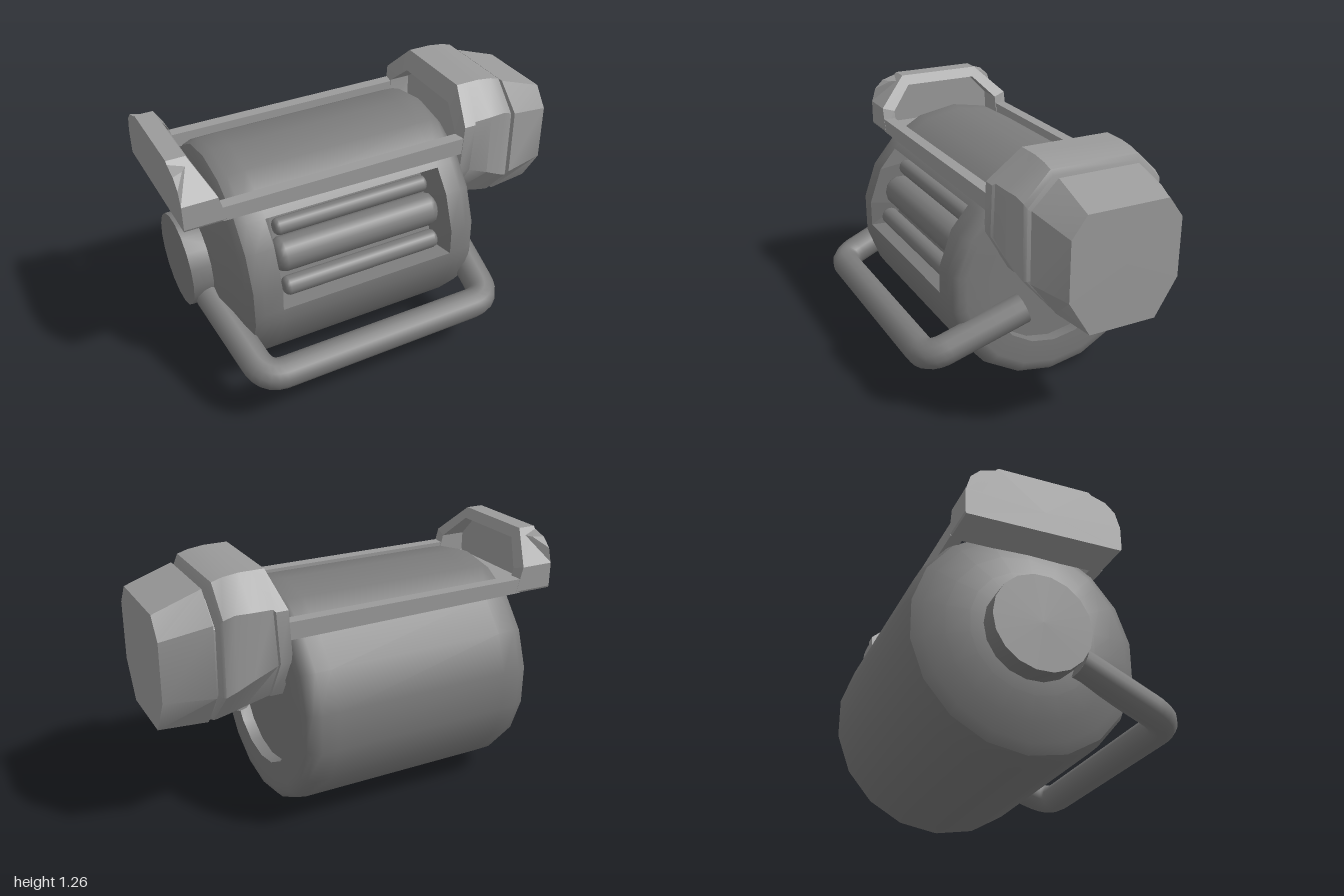
import * as THREE from 'three';
import { toCreasedNormals } from 'three/addons/utils/BufferGeometryUtils.js';
import { ConvexGeometry } from 'three/addons/geometries/ConvexGeometry.js';

const ZC = -0.105; // shared z of the drum axis and the head
const YC = 0.565; // height of the drum axis
const V = (x, y, z) => new THREE.Vector3(x, y, z);

// Skins closed rings of points and closes both ends; crease 0 gives flat faces
function loft(rings, { crease = 0, skip = () => false, startCap = true } = {}) {
  const pos = [];
  const tri = (...pts) => pts.forEach((p) => pos.push(p.x, p.y, p.z));
  const n = rings[0].length;
  const middle = (ring) => ring.reduce((s, p) => s.add(p), V(0, 0, 0)).divideScalar(n);
  const last = rings[rings.length - 1];
  const c0 = middle(rings[0]);
  const c1 = middle(last);
  for (let j = 0; j < n; j++) {
    const k = (j + 1) % n;
    for (let i = 0; i < rings.length - 1; i++) {
      if (skip(i, j)) continue;
      const a = rings[i], b = rings[i + 1];
      tri(a[j], a[k], b[j]);
      tri(a[k], b[k], b[j]);
    }
    if (startCap) tri(c0, rings[0][k], rings[0][j]);
    tri(c1, last[j], last[k]);
  }
  const geo = new THREE.BufferGeometry();
  geo.setAttribute('position', new THREE.Float32BufferAttribute(pos, 3));
  geo.computeVertexNormals();
  return crease ? toCreasedNormals(geo, crease) : geo;
}

// Octagonal section; lean shifts x with height above the rails
function octagon([x, yTop, topHalf, yShoulder, half, yLow, yBot, botHalf, lean = 0]) {
  return [
    [yTop, -topHalf], [yTop, topHalf], [yShoulder, half], [yLow, half],
    [yBot, botHalf], [yBot, -botHalf], [yLow, -half], [yShoulder, -half],
  ].map(([y, z]) => V(x + lean * Math.max(0, y - 1.06), y, ZC + z));
}

export function createModel() {
  const group = new THREE.Group();
  const dark = new THREE.MeshStandardMaterial({ color: 0x7a7a7a });
  const darkInside = new THREE.MeshStandardMaterial({ color: 0x7a7a7a, flatShading: true, side: THREE.DoubleSide });
  const light = new THREE.MeshStandardMaterial({ color: 0x9a9a9a });
  const lightFlat = new THREE.MeshStandardMaterial({ color: 0x9a9a9a, flatShading: true });
  const add = (name, geo, m) => {
    const mesh = new THREE.Mesh(geo, m);
    mesh.name = name;
    group.add(mesh);
    return mesh;
  };

  // Drum: 18 sides, with two extra points where the window edges cross
  const R = 0.56;
  const outline = [];
  for (let i = 0; i < 18; i++) {
    const a = (i * Math.PI) / 9;
    outline.push(new THREE.Vector2(Math.cos(a), Math.sin(a)));
  }
  const cutAt = (i, y) => {
    const a = outline[i], b = outline[i + 1];
    const t = ((y - YC) / R - a.x) / (b.x - a.x);
    outline.splice(i + 1, 0, a.clone().lerp(b, t));
  };
  cutAt(4, 0.53);
  cutAt(2, 0.95);
  const profile = [
    [-0.85, 0.3], [-0.815, 0.4], [-0.79, 0.495], [-0.765, 0.54], [-0.72, 0.558], [-0.63, R], [0.28, R],
    [0.36, R], [0.4, 0.547], [0.423, 0.523], [0.43, 0.485], [0.43, 0.365], [0.37, 0.365],
  ];
  const drumPoint = (x, r, p) => V(x, YC + r * p.x, ZC + r * p.y);
  const drumRings = profile.map(([x, r]) => outline.map((p) => drumPoint(x, r, p)));
  add('drum', loft(drumRings, { crease: 0.65, skip: (i, j) => i === 5 && j >= 3 && j <= 5 }), dark);

  // Window recess in the drum front
  const edge = outline.slice(3, 7);
  const outerAt = (x) => edge.map((p) => drumPoint(x, R, p));
  const innerAt = (x) => [0, 0.35, 0.7, 1].map((t) => V(x, 0.89 - 0.345 * t, 0.2 + 0.13 * t));
  const around = (f, x0, x1) => [...f(x0), ...f(x1).reverse()];
  add('windowRecess', loft([around(outerAt, -0.63, 0.28), around(innerAt, -0.58, 0.24)], { startCap: false }), darkInside);

  // Bars with blunt ends inside the window: x range, y, z, radius
  for (const [x0, x1, y, z, r] of [
    [-0.58, 0.23, 0.86, 0.255, 0.042],
    [-0.605, 0.26, 0.73, 0.295, 0.085],
    [-0.59, 0.24, 0.59, 0.36, 0.047],
  ]) {
    const h = (x1 - x0) / 2;
    const half = [[0, h], [0.6 * r, h], [0.88 * r, h - 0.2 * r], [r, h - 0.5 * r]];
    const points = [...half.map(([a, b]) => [a, -b]), ...half.reverse()].map((q) => new THREE.Vector2(...q));
    const bar = add('windowBar', new THREE.LatheGeometry(points, 14), dark);
    bar.rotation.z = Math.PI / 2;
    bar.position.set((x0 + x1) / 2, y, z);
  }

  // Hub on the drum end
  const hub = add('hub', toCreasedNormals(new THREE.CylinderGeometry(0.235, 0.235, 0.14, 18), 0.6), dark);
  hub.rotation.z = Math.PI / 2;
  hub.position.set(-0.88, YC, ZC);

  // Head: hollow sloped mouth with a flange, collar, groove and tapered nose
  add('head', loft([
    [0.53, 1.15, 0.2, 1.07, 0.315, 0.88, 0.68, 0.22],
    [0.42, 1.17, 0.2, 1.07, 0.315, 0.88, 0.68, 0.22, 0.29],
    [0.42, 1.27, 0.225, 1.12, 0.382, 0.87, 0.66, 0.26, 0.29],
    [0.48, 1.27, 0.225, 1.12, 0.382, 0.87, 0.66, 0.26, 0.29],
    [0.485, 1.27, 0.225, 1.13, 0.37, 0.86, 0.66, 0.25, 0.29],
    [0.6, 1.27, 0.225, 1.13, 0.368, 0.81, 0.62, 0.23],
    [0.68, 1.26, 0.225, 1.13, 0.362, 0.77, 0.59, 0.215],
    [0.73, 1.245, 0.225, 1.11, 0.352, 0.745, 0.57, 0.2],
    [0.742, 1.22, 0.215, 1.09, 0.34, 0.745, 0.57, 0.2],
    [0.752, 1.165, 0.2, 1.06, 0.31, 0.75, 0.57, 0.19],
    [0.765, 1.165, 0.2, 1.06, 0.31, 0.75, 0.57, 0.19],
    [0.768, 1.215, 0.205, 1.09, 0.335, 0.745, 0.565, 0.2],
    [1, 1.135, 0.205, 1.035, 0.28, 0.745, 0.565, 0.17],
  ].map(octagon), { crease: 0.6 }), light);

  // End bracket: block with a sloped, hollow inner side
  add('endBracket', loft([
    [-1, 1.27, 0.225, 1.12, 0.38, 1.0, 0.99, 0.375],
    [-0.8, 1.27, 0.225, 1.12, 0.38, 1.0, 0.99, 0.375, -0.524],
    [-0.8, 1.22, 0.2, 1.1, 0.315, 1.005, 1.0, 0.31, -0.524],
    [-0.95, 1.22, 0.2, 1.1, 0.315, 1.005, 1.0, 0.31],
  ].map(octagon)), lightFlat);

  // Side rails and wedge-shaped bracket ears, mirrored about the drum axis
  const railShape = new THREE.Shape([
    [-0.82, 0.99], [0.44, 0.975], [0.44, 1.06], [-0.82, 1.062],
  ].map(([x, y]) => new THREE.Vector2(x, y)));
  for (const s of [1, -1]) {
    const rail = add('sideRail', new THREE.ExtrudeGeometry(railShape, { depth: 0.06, bevelEnabled: false }), lightFlat);
    rail.position.z = ZC + s * 0.349 - 0.03;
    add('bracketEar', new ConvexGeometry([
      [-1, 1.26, 0.23], [-1, 1.235, 0.31], [-1, 1.19, 0.357], [-1, 1.12, 0.378],
      [-1, 1.12, 0.3], [-0.92, 1.24, 0.25], [-0.95, 1.235, 0.285],
    ].map(([x, y, z]) => V(x, y, ZC + s * z))), lightFlat);
  }

  // Carrying handle: splayed arms joined to a bar with rounded bends
  const p = [V(-0.865, 0.45, 0.095), V(-0.79, 0.282, 0.583), V(0.43, 0.282, 0.583), V(0.467, 0.45, 0.095)];
  const toward = (a, b, d) => a.clone().add(b.clone().sub(a).setLength(d));
  const path = new THREE.CurvePath();
  const ins = [toward(p[1], p[0], 0.1), toward(p[2], p[1], 0.1)];
  const outs = [toward(p[1], p[2], 0.1), toward(p[2], p[3], 0.1)];
  path.add(new THREE.LineCurve3(p[0], ins[0]));
  path.add(new THREE.QuadraticBezierCurve3(ins[0], p[1], outs[0]));
  path.add(new THREE.LineCurve3(outs[0], ins[1]));
  path.add(new THREE.QuadraticBezierCurve3(ins[1], p[2], outs[1]));
  path.add(new THREE.LineCurve3(outs[1], p[3]));
  add('handle', new THREE.TubeGeometry(path, 80, 0.075, 12), dark);
  for (const [end, next] of [[p[0], p[1]], [p[3], p[2]]]) {
    const cap = add('handleCap', new THREE.CircleGeometry(0.075, 12), dark);
    cap.position.copy(end);
    cap.lookAt(end.clone().multiplyScalar(2).sub(next));
  }

  return group;
}
